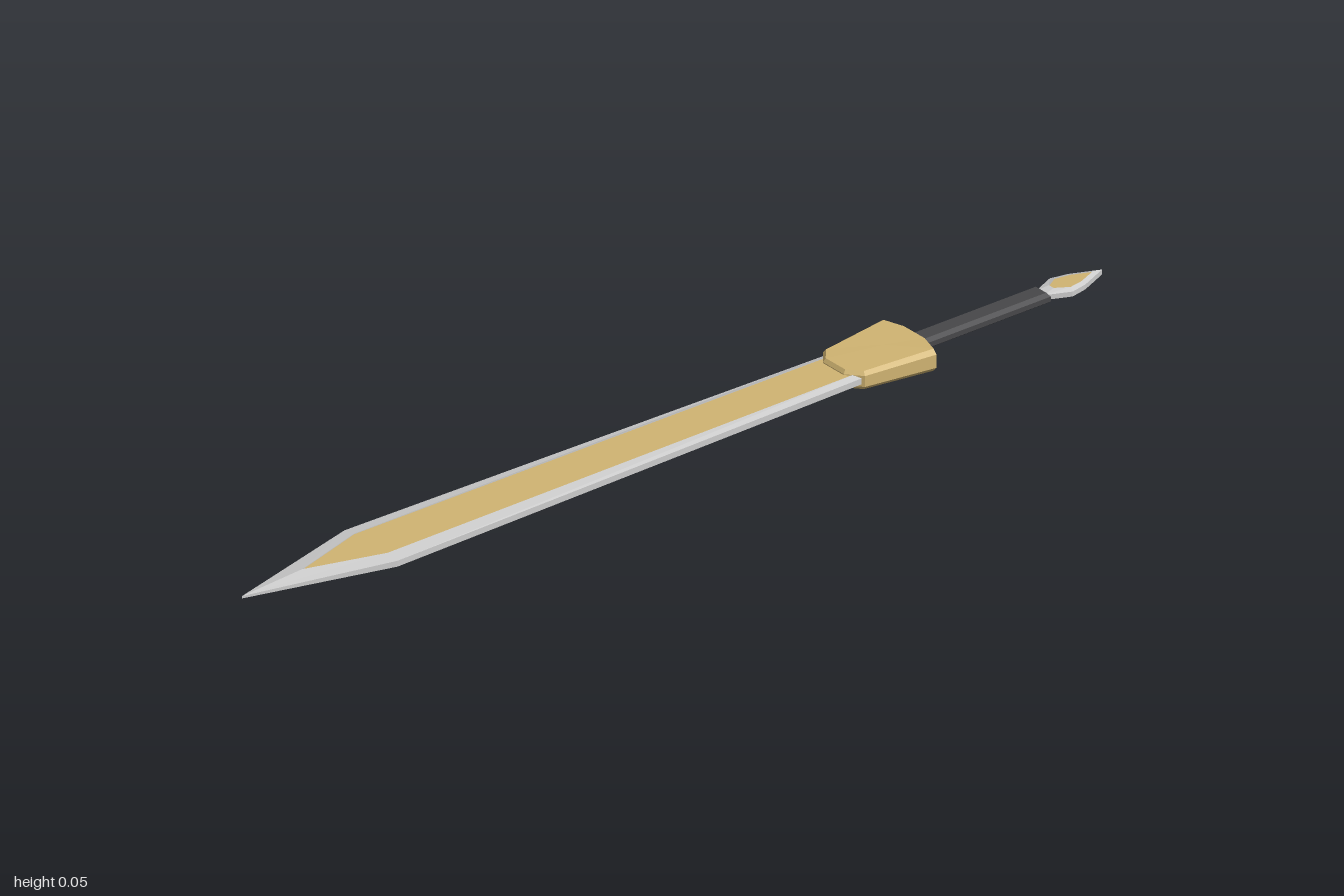
import * as THREE from 'three';

const MID = 0.0225; // height of the sword's middle plane
const material = (color) => new THREE.MeshStandardMaterial({ color, flatShading: true });
const steel = material(0xcccccc);
const gold = material(0xd0b472);
const leather = material(0x474749);

// Closed outline from its +x half, listed front to back as [x, z]
const mirrored = (half) => [
  ...half,
  ...half.filter(([x]) => x > 0).reverse().map(([x, z]) => [-x, z]),
];

// Ring of points at a height that may vary along z
const ring = (half, y, scale = () => 1) =>
  mirrored(half).map(([x, z]) => new THREE.Vector3(x, MID + y * scale(z), z));

// Faceted skin through rings, from the lowest to the highest
function loft(name, rings, mat, capped = true) {
  const pos = [];
  const tri = (...pts) => pts.forEach((p) => pos.push(p.x, p.y, p.z));
  const n = rings[0].length;
  for (let r = 0; r < rings.length - 1; r++) {
    for (let i = 0; i < n; i++) {
      const j = (i + 1) % n, a = rings[r], b = rings[r + 1];
      tri(a[i], a[j], b[j]);
      tri(a[i], b[j], b[i]);
    }
  }
  if (capped) {
    const cap = (pts, up) => {
      const c = pts.reduce((s, p) => s.add(p), new THREE.Vector3()).divideScalar(n);
      pts.forEach((p, i) => {
        const q = pts[(i + 1) % n];
        up ? tri(c, p, q) : tri(c, q, p);
      });
    };
    cap(rings[0], false);
    cap(rings[rings.length - 1], true);
  }
  const geo = new THREE.BufferGeometry();
  geo.setAttribute('position', new THREE.Float32BufferAttribute(pos, 3));
  geo.computeVertexNormals();
  const mesh = new THREE.Mesh(geo, mat);
  mesh.name = name;
  return mesh;
}

// Bevelled steel frame with a slightly sunken gold panel on both faces
function inlaid(name, outer, inner, edge, rim, panel, scale) {
  const group = new THREE.Group();
  group.name = name;
  group.add(
    loft(name + 'Frame', [
      ring(inner, -panel), ring(inner, -rim), ring(outer, -edge, scale),
      ring(outer, edge, scale), ring(inner, rim), ring(inner, panel),
    ], steel, false),
    loft(name + 'Inlay', [ring(inner, -panel), ring(inner, panel)], gold),
  );
  return group;
}

export function createModel() {
  const sword = new THREE.Group();
  sword.name = 'sword';

  // Blade, widening toward the point
  sword.add(inlaid('blade',
    [[0, 1], [0.076, 0.7], [0.055, -0.42]],
    [[0, 0.86], [0.048, 0.7], [0.042, -0.42]],
    0.006, 0.011, 0.0095, (z) => (z > 0.9 ? 0.4 : 1)));

  // Guard: flared block with chamfered edges and a notch in its back
  const taper = (z) => 0.82 + 0.18 * THREE.MathUtils.clamp((-0.4 - z) / 0.15, 0, 1);
  const face = [[0.028, -0.38], [0.054, -0.402], [0.072, -0.55], [0.052, -0.556], [0.03, -0.563]];
  const full = [[0.03, -0.375], [0.06, -0.4], [0.08, -0.55], [0.055, -0.558], [0.03, -0.566]];
  const notch = [[0.03, -0.375], [0.06, -0.4], [0.08, -0.55], [0.055, -0.554], [0.03, -0.53]];
  sword.add(loft('guard', [
    ring(face, -0.0225, taper), ring(full, -0.0135, taper), ring(notch, -0.0115, taper),
    ring(notch, 0.0115, taper), ring(full, 0.0135, taper), ring(face, 0.0225, taper),
  ], gold));

  // Grip with bevelled long edges
  const wide = [[0.023, -0.52], [0.023, -0.862]];
  const narrow = [[0.015, -0.52], [0.015, -0.858]];
  sword.add(loft('grip', [
    ring(narrow, -0.011), ring(wide, -0.005), ring(wide, 0.005), ring(narrow, 0.011),
  ], leather));

  // Leaf-shaped pommel
  sword.add(inlaid('pommel',
    [[0.011, -0.855], [0.033, -0.905], [0.026, -0.94], [0, -1]],
    [[0.007, -0.882], [0.023, -0.908], [0.018, -0.938], [0, -0.98]],
    0.005, 0.0095, 0.007));

  return sword;
}
